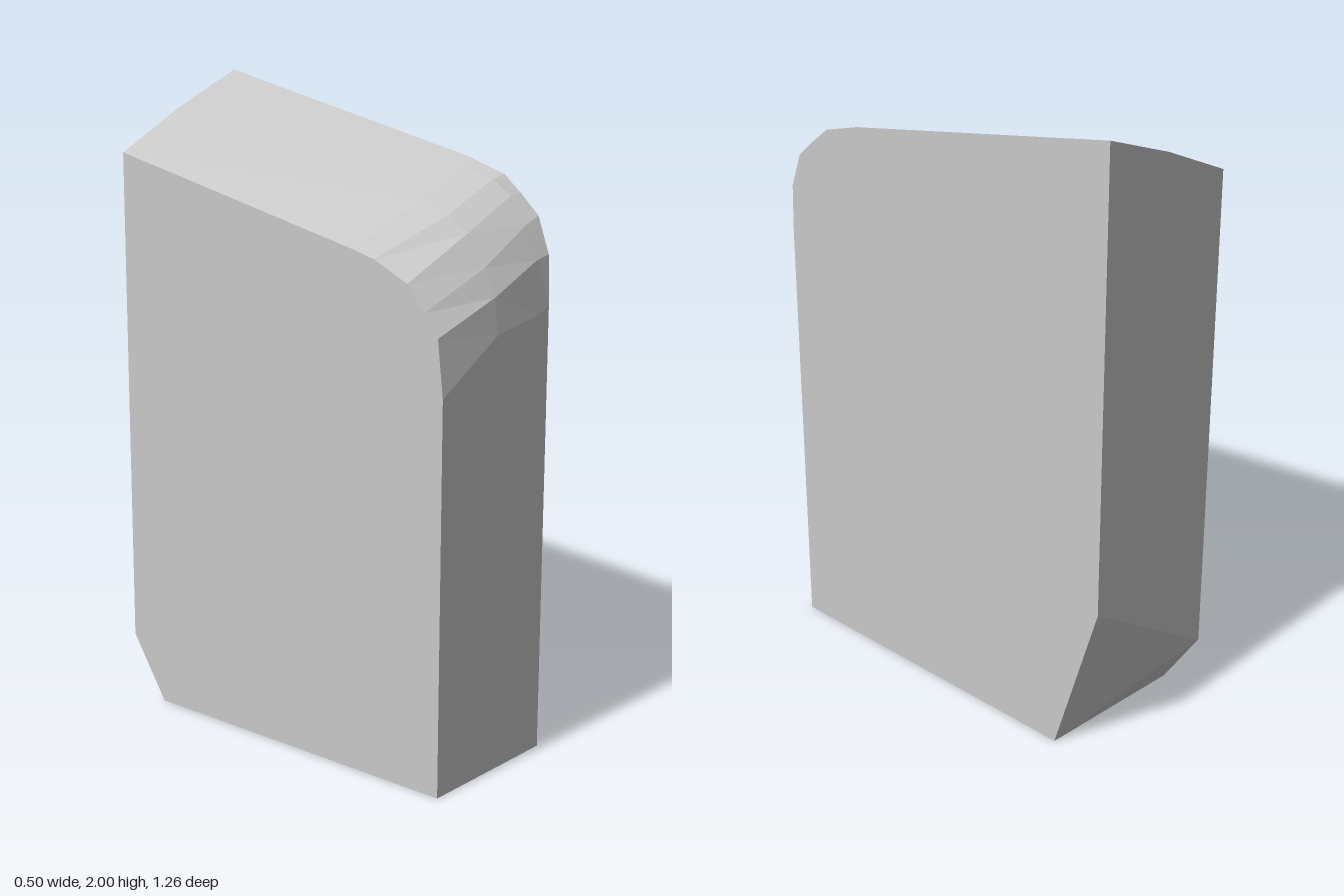
import * as THREE from 'three';

// Top contour of each cross-section as [z, y], from back to front, at four x positions
const contours = [
  { x: -0.25, top: [[-0.63, 1.78], [0.3, 1.585], [0.38, 1.565], [0.5, 1.51], [0.56, 1.435], [0.61, 1.37], [0.63, 1.2]] },
  { x: 0, top: [[-0.63, 1.9], [0.35, 1.7], [0.45, 1.67], [0.515, 1.62], [0.58, 1.53], [0.62, 1.45], [0.63, 1.34]] },
  { x: 0.2, top: [[-0.63, 1.98], [0.35, 1.775], [0.455, 1.75], [0.52, 1.705], [0.58, 1.63], [0.62, 1.53], [0.63, 1.37]] },
  { x: 0.25, top: [[-0.63, 2], [0.33, 1.8], [0.46, 1.76], [0.52, 1.71], [0.585, 1.65], [0.625, 1.54], [0.63, 1.39]] },
];

// Full cross-section: top contour, front, bottom, and the two-facet chamfer at the rear foot
function section({ x, top }) {
  const t = (x + 0.25) / 0.5;
  const mix = (a, b) => THREE.MathUtils.lerp(a, b, t);
  const lower = [
    [0.63, 0],
    [mix(-0.5, -0.47), 0],
    [mix(-0.63, -0.47), mix(0.2, 0)], // diagonal crease of the chamfer
    [-0.63, mix(0.2, 0.53)],
  ];
  return [...top, ...lower].map(([z, y]) => new THREE.Vector3(x, y, z));
}

// Join the sections into a closed, flat-faceted solid
function loft(sections) {
  const points = [];
  const tri = (a, b, c) => {
    const area = b.clone().sub(a).cross(c.clone().sub(a)).length();
    if (area > 1e-7) points.push(a, b, c);
  };
  const n = sections[0].length;
  for (let i = 0; i < sections.length - 1; i++) {
    const s = sections[i], r = sections[i + 1];
    for (let j = 0; j < n; j++) {
      const k = (j + 1) % n;
      tri(s[j], s[k], r[k]);
      tri(s[j], r[k], r[j]);
    }
  }
  // Flat side faces
  const right = sections[0], left = sections[sections.length - 1];
  for (let j = 1; j < n - 1; j++) {
    tri(left[0], left[j], left[j + 1]);
    tri(right[0], right[j + 1], right[j]);
  }
  const geometry = new THREE.BufferGeometry().setFromPoints(points);
  geometry.computeVertexNormals();
  return geometry;
}

export function createModel() {
  const stone = new THREE.MeshStandardMaterial({ color: 0xc8c8c8 });
  stone.name = 'light grey';
  stone.flatShading = true;

  const block = new THREE.Mesh(loft(contours.map(section)), stone);
  block.name = 'slantedBlock';

  const model = new THREE.Group();
  model.name = 'roundedSlab';
  model.add(block);
  return model;
}
